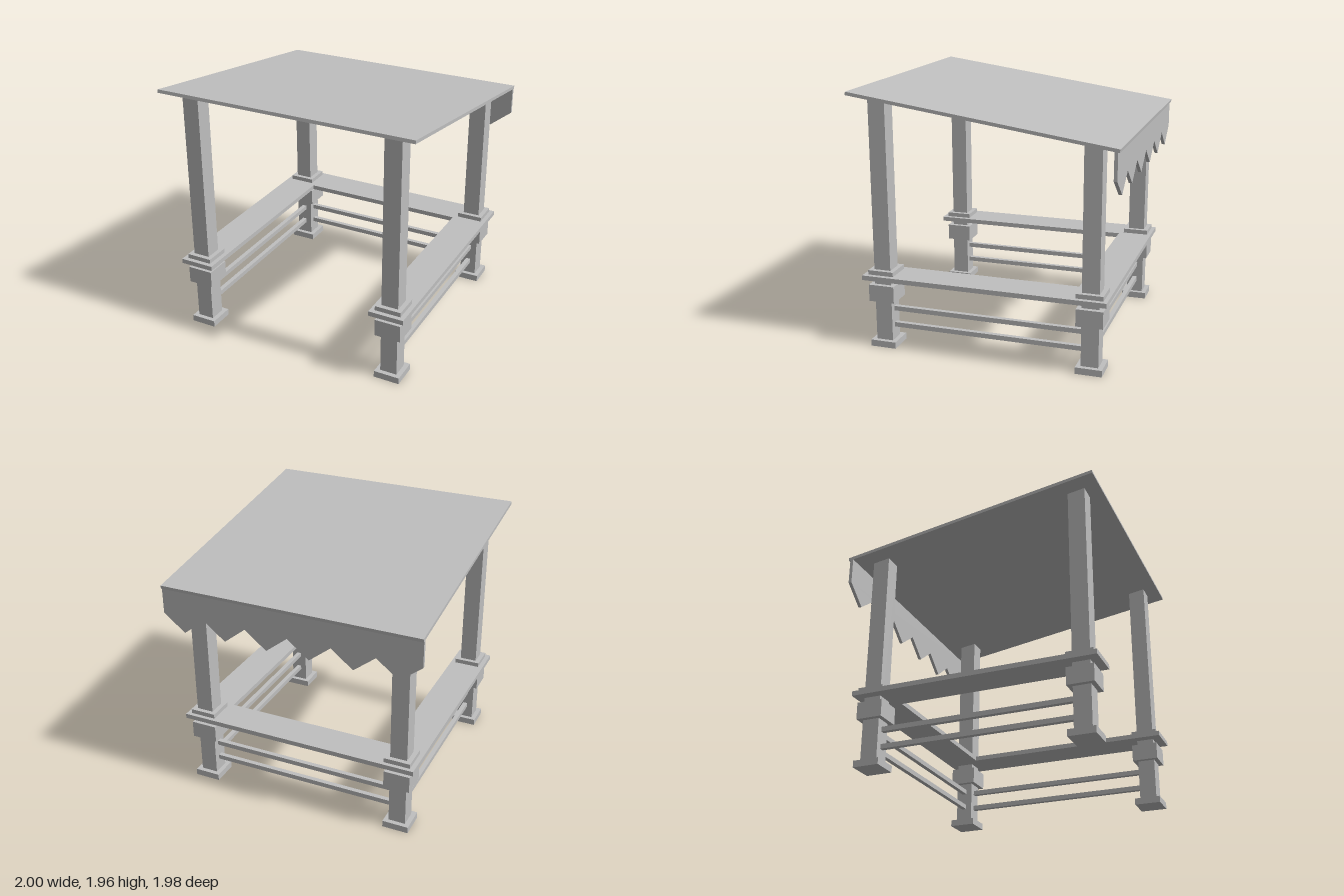
import * as THREE from 'three';

export function createModel() {
  const group = new THREE.Group();
  const grey = new THREE.MeshStandardMaterial({ color: 0xbfbfbf });
  grey.name = 'grey';

  const add = (name, geometry, x = 0, y = 0, z = 0) => {
    const mesh = new THREE.Mesh(geometry, grey);
    mesh.name = name;
    mesh.position.set(x, y, z);
    group.add(mesh);
    return mesh;
  };
  // Box given by its bottom and top heights
  const block = (name, w, d, y0, y1, x, z) =>
    add(name, new THREE.BoxGeometry(w, y1 - y0, d), x, (y0 + y1) / 2, z);

  const postX = 0.8, frontZ = 0.82, backZ = -0.78, postW = 0.13;
  const tilt = 0.14, roofY = 1.8125, roofT = 0.025;

  // Sloping roof slab, higher at the front
  const roof = add('roof', new THREE.BoxGeometry(2, roofT, 1.997), 0, roofY, 0);
  roof.rotation.x = -tilt;
  const underside = z => roofY - roofT / 2 + z * Math.tan(tilt) + 0.001;

  // Posts with cut tops, feet, collars and trims
  for (const z of [frontZ, backZ]) {
    for (const x of [-postX, postX]) {
      const post = new THREE.BoxGeometry(postW, 1, postW);
      const p = post.attributes.position;
      for (let i = 0; i < p.count; i++) {
        p.setY(i, p.getY(i) > 0 ? underside(z + p.getZ(i)) : 0);
      }
      post.computeVertexNormals();
      add('post', post, x, 0, z);
      block('foot', 0.2, 0.2, 0, 0.05, x, z);
      block('collar', 0.2, 0.2, 0.365, 0.495, x, z);
      block('trim', 0.2, 0.2, 0.574, 0.61, x, z);
    }
  }

  // U-shaped bench, open at the front (shape y becomes -z)
  const outer = 0.935, inner = 0.665;
  const seat = new THREE.Shape([
    [-outer, -0.955], [-inner, -0.955], [-inner, 0.645], [inner, 0.645],
    [inner, -0.955], [outer, -0.955], [outer, 0.91], [-outer, 0.91],
  ].map(([x, y]) => new THREE.Vector2(x, y)));
  const bench = new THREE.ExtrudeGeometry(seat, { depth: 0.036, bevelEnabled: false });
  bench.rotateX(-Math.PI / 2);
  add('bench', bench, 0, 0.54, 0);

  // Two rails along each side and the back
  for (const y of [0.145, 0.277]) {
    const top = y + 0.036;
    for (const x of [-postX, postX]) {
      block('sideRail', 0.036, frontZ - backZ - postW, y, top, x, (frontZ + backZ) / 2);
    }
    block('backRail', 2 * postX - postW, 0.036, y, top, 0, backZ);
  }

  // Zigzag valance hanging from the back edge of the roof
  const teeth = 6, points = [new THREE.Vector2(1, 1.668), new THREE.Vector2(-1, 1.668)];
  for (let i = 0; i <= teeth * 2; i++) {
    points.push(new THREE.Vector2(-1 + i / teeth, i % 2 ? 1.333 : 1.465));
  }
  add('valance', new THREE.ExtrudeGeometry(new THREE.Shape(points),
    { depth: 0.025, bevelEnabled: false }), 0, 0, -0.976);

  return group;
}
